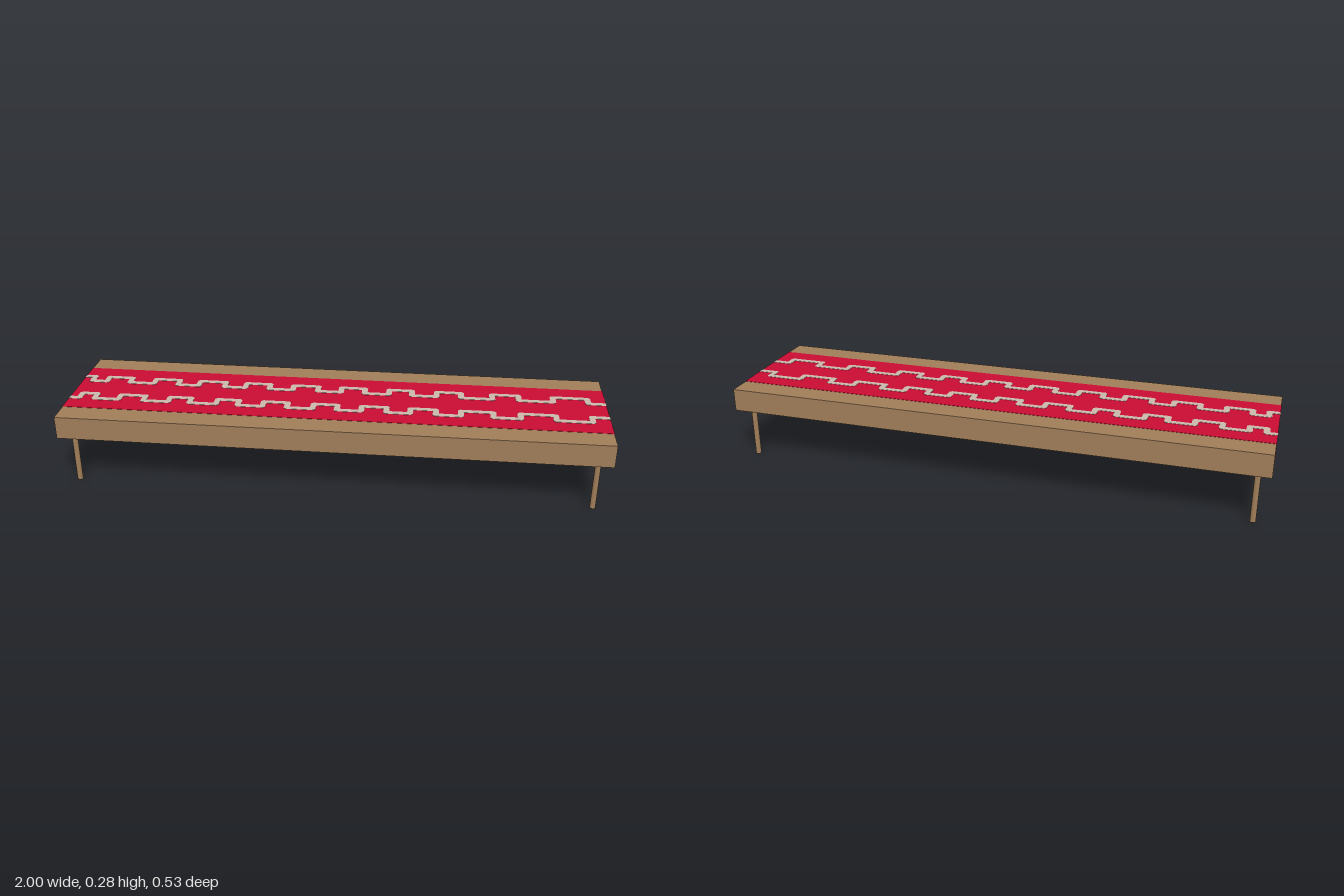
import * as THREE from 'three';

const mat = (name, color) => Object.assign(new THREE.MeshStandardMaterial({ color }), { name });

export function createModel() {
  const wood = mat('wood', 0x9f7d58);
  const red = mat('runner red', 0xc90c33);
  const grey = mat('pattern grey', 0xc9b9ac);
  const model = new THREE.Group();
  model.name = 'lowTable';

  const add = (name, geometry, material, x = 0, y = 0, z = 0) => {
    const mesh = new THREE.Mesh(geometry, material);
    mesh.name = name;
    mesh.position.set(x, y, z);
    model.add(mesh);
    return mesh;
  };
  const box = (name, w, h, d, material, x, y, z) =>
    add(name, new THREE.BoxGeometry(w, h, d), material, x, y, z);
  const plate = (points, depth) => new THREE.ExtrudeGeometry(
    new THREE.Shape(points.map(([x, y]) => new THREE.Vector2(x, y))), { depth, bevelEnabled: false });

  // Thick top and the recessed board beneath it
  box('tableTop', 1.996, 0.085, 0.53, wood, 0, 0.2375, 0);
  box('underBoard', 1.96, 0.01, 0.49, wood, 0, 0.19, 0);

  // Slim round legs
  for (const x of [-0.95, 0.95]) for (const z of [-0.214, 0.214])
    add('leg', new THREE.CylinderGeometry(0.0105, 0.0105, 0.186, 16), wood, x, 0.093, z);

  // Red runner along the top
  box('runnerTop', 1.998, 0.001, 0.35, red, 0, 0.2805, 0);

  // Runner ends hang down with stepped lower corners
  const half = [[0.175, 0.281]];
  for (let i = 0; i < 4; i++) {
    const z = 0.175 - i * 0.0075, y = 0.246 - i * 0.0075;
    half.push([z, y], [z - 0.0075, y]);
  }
  half.push([0.145, 0.217]);
  const endShape = [...half, ...half.map(([z, y]) => [-z, y]).reverse()];
  for (const side of [-1, 1]) {
    const end = add('runnerEnd', plate(endShape, 0.001), red, side * 0.998, 0, 0);
    end.rotation.y = side * Math.PI / 2;
    // Pattern bands running over the edge
    for (const z of [-0.098, 0.098]) {
      box('endBand', 0.001, 0.036, 0.021, grey, side * 0.9995, 0.264, z);
      box('endBandTip', 0.001, 0.007, 0.008, grey, side * 0.9995, 0.2425, z);
    }
  }

  // Meander borders: each pair is the x range of one outward step
  const steps = [[-1, -0.95], [-0.914, -0.8], [-0.727, -0.61], [-0.551, -0.428], [-0.369, -0.254],
    [-0.185, -0.067], [0, 0.112], [0.182, 0.291], [0.362, 0.475], [0.57, 0.69], [0.795, 0.945]];
  const w = 0.022, inner = 0.045, outer = 0.085, c = 0.008;
  const far = [], near = [[-1, inner]];
  for (const [a, b] of steps) {
    far.push([a, inner + w], [a, outer + w - c], [a + c, outer + w],
      [b - c, outer + w], [b, outer + w - c], [b, inner + w]);
    if (a > -1) near.push([a + w - c, inner], [a + w, inner + c], [a + w, outer]);
    else near.splice(0, 1, [-1, outer]);
    near.push([b - w, outer], [b - w, inner + c], [b - w + c, inner]);
  }
  far.push([1, inner + w]);
  near.push([1, inner]);
  far.shift();
  const outline = [...far, ...near.reverse()];
  for (const side of [-1, 1]) {
    const border = add('meanderBorder',
      plate(outline.map(([x, z]) => [x, side * z]), 0.001), grey, 0, 0.282, 0);
    border.rotation.x = Math.PI / 2;
  }
  return model;
}
